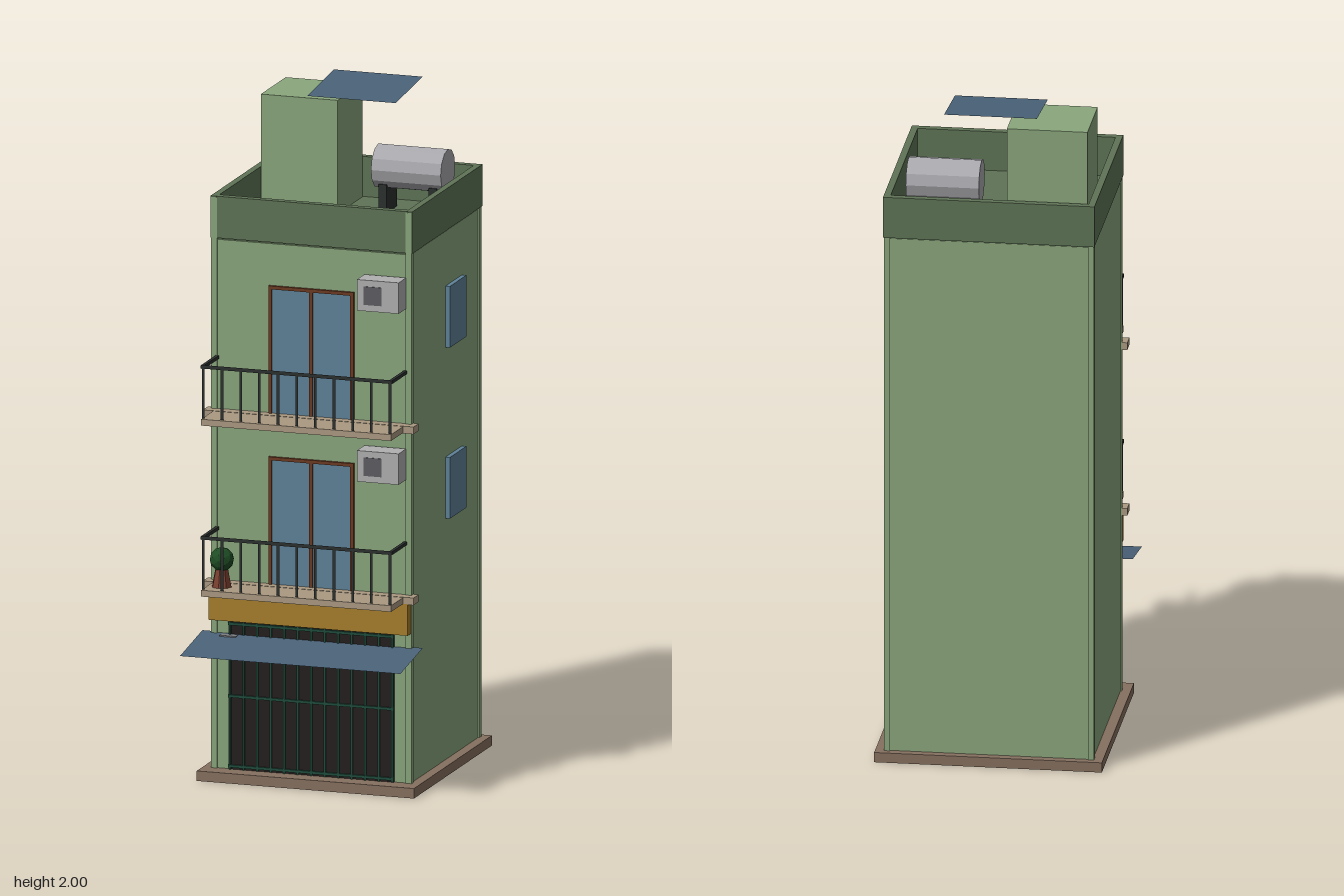
import * as THREE from 'three';

const mat = (color, extra = {}) => new THREE.MeshStandardMaterial({ color, ...extra });
const M = {
  wall: mat(0x8aa67c), trim: mat(0x5f7456), stone: mat(0x86705f), slab: mat(0xab9a82),
  glass: mat(0x5f8298), wood: mat(0x6b3a22), gold: mat(0xa67f2c), dark: mat(0x241f1e),
  bar: mat(0x1f4d3c), metal: mat(0x2b302e, { side: THREE.DoubleSide }), unit: mat(0xb0b0b0),
  fan: mat(0x5c5c62), meter: mat(0x7d8084), sheet: mat(0x4a6278, { side: THREE.DoubleSide }),
  tank: mat(0xa9a9ae, { flatShading: true }), pot: mat(0x7a4030, { flatShading: true }),
  leaf: mat(0x1f4d24, { flatShading: true }),
};

export function createModel() {
  const root = new THREE.Group();

  const add = (name, geo, material, parent = root) => {
    const mesh = new THREE.Mesh(geo, material);
    mesh.name = name;
    parent.add(mesh);
    return mesh;
  };
  // Box given by its limits on each axis
  const box = (name, m, x0, x1, y0, y1, z0, z1, parent) => {
    const mesh = add(name, new THREE.BoxGeometry(x1 - x0, y1 - y0, z1 - z0), m, parent);
    mesh.position.set((x0 + x1) / 2, (y0 + y1) / 2, (z0 + z1) / 2);
    return mesh;
  };
  // Thin upright strip facing the front
  const strip = (name, m, x0, x1, y0, y1, z, parent) => {
    const mesh = add(name, new THREE.PlaneGeometry(x1 - x0, y1 - y0), m, parent);
    mesh.position.set((x0 + x1) / 2, (y0 + y1) / 2, z);
  };
  // Sloping sheet, higher at the back
  const sheet = (name, x0, x1, yBack, yFront, zBack, zFront) => {
    const dy = yBack - yFront, dz = zFront - zBack;
    const mesh = add(name, new THREE.PlaneGeometry(x1 - x0, Math.hypot(dy, dz)), M.sheet);
    mesh.position.set((x0 + x1) / 2, (yBack + yFront) / 2, (zBack + zFront) / 2);
    mesh.rotation.x = -Math.PI / 2 + Math.atan2(dy, dz);
  };

  // Base, body and corner strips
  box('plinth', M.stone, -0.335, 0.335, 0, 0.03, -0.417, 0.28);
  box('body', M.wall, -0.305, 0.305, 0.03, 1.615, -0.392, 0.222);
  for (const x of [-0.3, 0.3])
    for (const z of [-0.388, 0.218])
      box('cornerStrip', M.wall, x - 0.009, x + 0.009, 0.03, 1.742, z - 0.009, z + 0.009);

  // Roof and parapet
  box('roofDeck', M.trim, -0.3, 0.3, 1.6, 1.625, -0.39, 0.215);
  for (const s of [-1, 1])
    box('parapetSide', M.trim, s * 0.301 - 0.01, s * 0.301 + 0.01, 1.62, 1.745, -0.402, 0.226);
  box('parapetFront', M.trim, -0.292, 0.292, 1.62, 1.745, 0.203, 0.226);
  box('parapetBack', M.trim, -0.292, 0.292, 1.62, 1.745, -0.402, -0.38);

  // Stair tower, canopy sheet and water tank
  box('stairTower', M.wall, -0.287, -0.05, 1.62, 1.965, -0.375, -0.153);
  sheet('roofSheet', -0.138, 0.135, 2.0, 1.975, -0.375, -0.137);
  const tank = add('waterTank', new THREE.CylinderGeometry(0.065, 0.065, 0.215, 12), M.tank);
  tank.rotation.z = Math.PI / 2;
  tank.position.set(0.148, 1.755, -0.253);
  for (const x of [0.07, 0.225])
    box('tankStand', M.metal, x - 0.012, x + 0.012, 1.62, 1.71, -0.3, -0.205);

  // Shop gate with bars
  box('gatePanel', M.dark, -0.255, 0.255, 0.03, 0.475, 0.215, 0.226);
  const gate = new THREE.Group();
  gate.name = 'gateBars';
  root.add(gate);
  for (let i = 0; i <= 12; i++) {
    const x = -0.25 + i * 0.5 / 12;
    box('gateBar', M.bar, x - 0.003, x + 0.003, 0.03, 0.475, 0.224, 0.231, gate);
  }
  for (const y of [0.04, 0.25, 0.467])
    box('gateRail', M.bar, -0.255, 0.255, y - 0.004, y + 0.004, 0.224, 0.232, gate);

  // Awning, blank sign board and meter box
  sheet('awning', -0.34, 0.34, 0.437, 0.405, 0.215, 0.415);
  box('signBoard', M.gold, -0.307, 0.307, 0.48, 0.575, 0.22, 0.255);
  box('meterBox', M.meter, -0.275, -0.225, 0.367, 0.435, 0.22, 0.25);

  // Each upper storey: balcony, door, air conditioner and side window
  for (const y of [0.595, 1.108]) {
    const floor = new THREE.Group();
    floor.name = 'storey';
    floor.position.y = y;
    root.add(floor);

    box('balconyLedge', M.slab, -0.325, 0.325, -0.022, 0, 0.21, 0.255, floor);
    box('balconySlab', M.slab, -0.293, 0.293, -0.02, -0.001, 0.25, 0.362, floor);

    for (let i = 0; i <= 10; i++) {
      const x = -0.288 + i * 0.0576;
      strip('baluster', M.metal, x - 0.004, x + 0.004, 0, 0.155, 0.357, floor);
    }
    strip('frontRail', M.metal, -0.295, 0.295, 0.15, 0.161, 0.358, floor);
    for (const s of [-1, 1])
      box('sideRail', M.metal, s * 0.29 - 0.005, s * 0.29 + 0.005, 0.15, 0.16, 0.226, 0.36, floor);

    box('doorGlass', M.glass, -0.125, 0.125, 0, 0.375, 0.215, 0.226, floor);
    for (const x of [-0.126, 0, 0.126])
      box('doorPost', M.wood, x - 0.005, x + 0.005, 0, 0.38, 0.215, 0.231, floor);
    box('doorHead', M.wood, -0.131, 0.131, 0.372, 0.382, 0.215, 0.231, floor);

    box('airConditioner', M.unit, 0.164, 0.293, 0.346, 0.439, 0.228, 0.295, floor);
    box('fanGrille', M.fan, 0.185, 0.241, 0.365, 0.42, 0.285, 0.297, floor);

    box('sideWindow', M.glass, 0.295, 0.319, 0.159, 0.343, -0.235, -0.087, floor);
  }

  // Potted shrub on the lower balcony
  const pot = add('plantPot', new THREE.CylinderGeometry(0.018, 0.03, 0.06, 8), M.pot);
  pot.position.set(-0.25, 0.625, 0.302);
  const leaves = add('shrub', new THREE.IcosahedronGeometry(0.036, 1), M.leaf);
  leaves.position.set(-0.25, 0.677, 0.302);

  return root;
}
